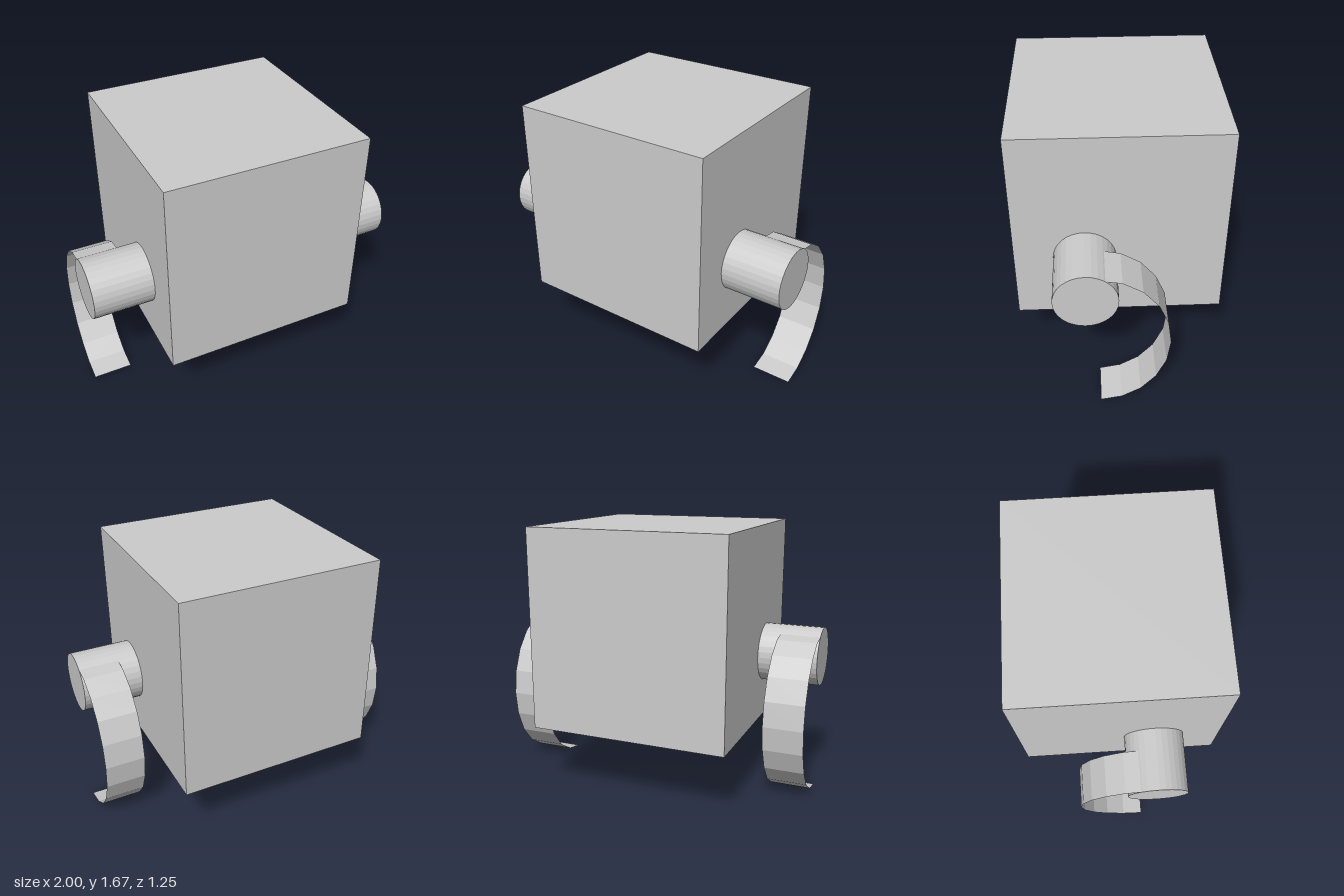
import * as THREE from 'three';

export function createModel() {
  const model = new THREE.Group();
  const solid = new THREE.MeshStandardMaterial({ color: 0xcccccc, flatShading: true });
  const thin = new THREE.MeshStandardMaterial({
    color: 0xcccccc, flatShading: true, side: THREE.DoubleSide,
  });

  function add(name, geometry, material, x, y, z) {
    const mesh = new THREE.Mesh(geometry, material);
    mesh.name = name;
    mesh.position.set(x, y, z);
    model.add(mesh);
  }

  // Cube body
  add('body', new THREE.BoxGeometry(1.253, 1.253, 1.253), solid, 0, 1.045, 0);

  // Round stub on each side
  const hub = new THREE.CylinderGeometry(0.186, 0.186, 0.4, 32).rotateZ(Math.PI / 2);

  // Thin half-oval leg, bulging backwards from the stub down to the ground
  const blade = new THREE.CylinderGeometry(1, 1, 0.25, 10, 1, true, Math.PI / 2, Math.PI)
    .rotateZ(Math.PI / 2)
    .scale(1, 0.5, 0.412);

  for (const [side, s] of [['left', 1], ['right', -1]]) {
    add(side + 'Hub', hub, solid, s * 0.8, 0.845, 0.209);
    add(side + 'BladeLeg', blade, thin, s * 0.875, 0.5, 0.132);
  }
  return model;
}
